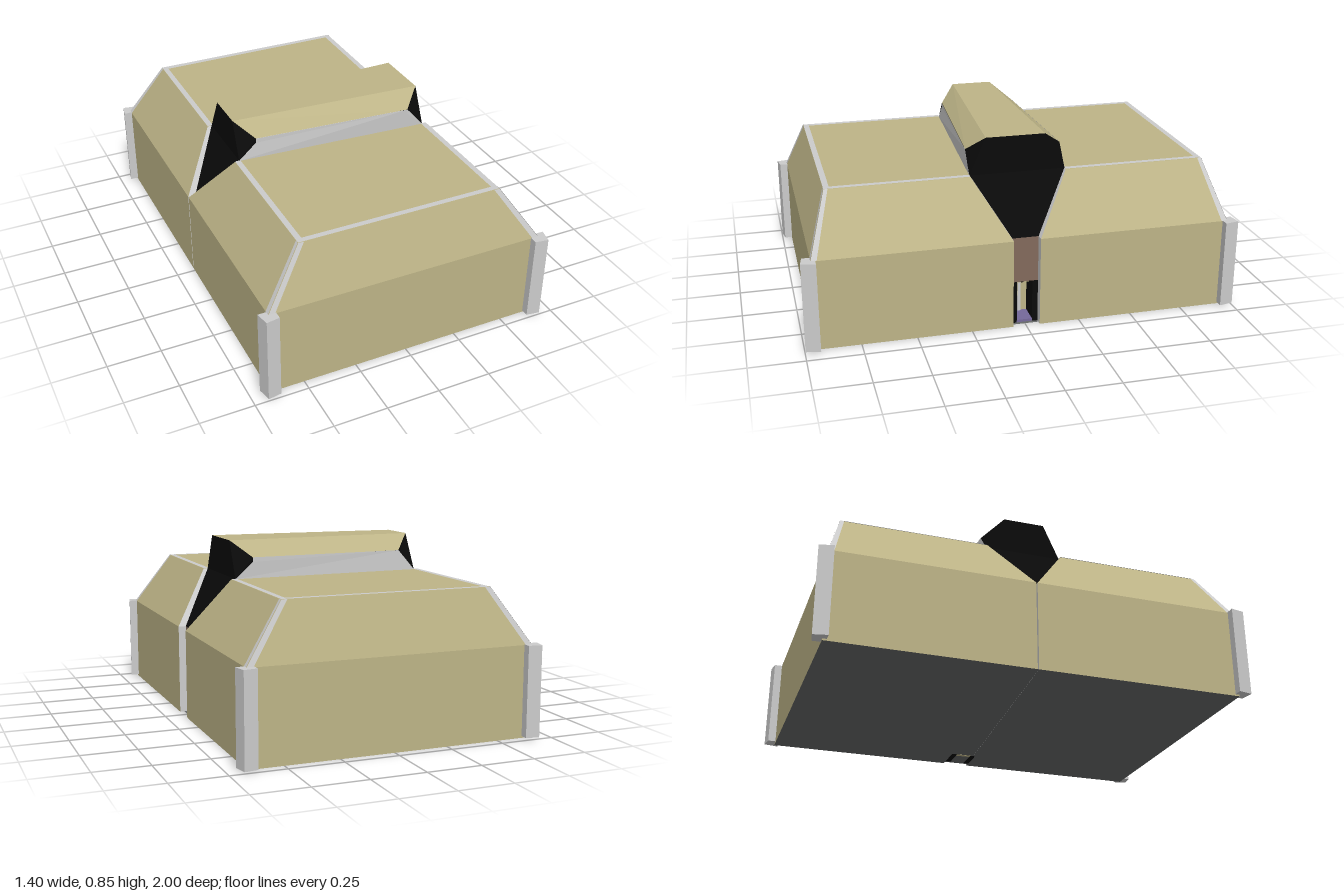
import * as THREE from 'three';

const paint = (color) => new THREE.MeshStandardMaterial({ color, flatShading: true, side: THREE.DoubleSide });
const TAN = paint(0xbdb487), GREY = paint(0xcccccc), BLACK = paint(0x0a0a0a);
const BROWN = paint(0x826a5c), DARK = paint(0x666868), PURPLE = paint(0x75699a);

// Flat polygons turned to face away from a centre, optionally lifted off the surface
function panels(name, material, polys, centre, lift = 0) {
  const pos = [];
  const c = new THREE.Vector3(...centre);
  for (const poly of polys) {
    let p = poly.map((q) => new THREE.Vector3(...q));
    const n = new THREE.Vector3().crossVectors(p[1].clone().sub(p[0]), p[2].clone().sub(p[0])).normalize();
    if (n.dot(p[0].clone().sub(c)) < 0) { p.reverse(); n.negate(); }
    p = p.map((v) => v.addScaledVector(n, lift));
    for (let i = 1; i < p.length - 1; i++) {
      for (const v of [p[0], p[i], p[i + 1]]) pos.push(v.x, v.y, v.z);
    }
  }
  const g = new THREE.BufferGeometry();
  g.setAttribute('position', new THREE.Float32BufferAttribute(pos, 3));
  g.computeVertexNormals();
  const m = new THREE.Mesh(g, material);
  m.name = name;
  return m;
}

function box(name, material, w, h, d, x, y, z) {
  const m = new THREE.Mesh(new THREE.BoxGeometry(w, h, d), material);
  m.name = name;
  m.position.set(x, y, z);
  return m;
}

const W = 0.66, T = 0.485, H = 0.42, R = 0.675;

// One half of the building: outer end at zo (wall) and zt (roof);
// the middle cut is given for the left (+x) and right (-x) sides
function half(name, zo, zt, cutL, cutR) {
  const g = new THREE.Group();
  g.name = name;
  const centre = [0, 0.3, zo * 0.55];
  const side = (s, [low, high]) => ({
    o0: [s * W, 0, zo], o1: [s * W, H, zo], o2: [s * T, R, zt],
    i0: [s * W, 0, low], i1: [s * W, H, low], i2: [s * T, R, high],
  });
  const a = side(1, cutL), b = side(-1, cutR);
  const walls = [[a.o0, a.o1, b.o1, b.o0], [a.o1, a.o2, b.o2, b.o1], [a.o2, a.i2, b.i2, b.o2]];
  for (const e of [a, b]) walls.push([e.o0, e.i0, e.i1, e.o1], [e.o1, e.i1, e.i2, e.o2]);
  g.add(panels('wallsAndRoof', TAN, walls, centre));
  g.add(panels('cutFace', GREY, [[a.i0, a.i1, b.i1, b.i0], [a.i1, a.i2, b.i2, b.i1]], centre));
  g.add(panels('floor', DARK, [[a.o0, b.o0, b.i0, a.i0]], centre));

  // Pale trim on the hips and round the flat roof
  const d = Math.sign(zo), t = 0.026;
  const hips = [], rim = [];
  for (const [s, e] of [[1, a], [-1, b]]) {
    const dx = ([x, y, z], k) => [x - s * k, y, z];
    const dz = ([x, y, z], k) => [x, y, z - d * k];
    hips.push([e.o1, e.o2, dx(e.o2, t), dx(e.o1, 0.03)]);
    hips.push([e.o1, e.o2, dz(e.o2, 0.018), dz(e.o1, 0.026)]);
    rim.push([e.o2, e.i2, dx(e.i2, t), dx(e.o2, t)]);
  }
  const inset = (p) => [p[0], p[1], p[2] - d * t];
  rim.push([a.o2, b.o2, inset(b.o2), inset(a.o2)]);
  g.add(panels('hipTrim', GREY, hips, centre, 0.002));
  g.add(panels('roofTrim', GREY, rim, centre, 0.002));

  // Angled corner posts
  for (const s of [1, -1]) {
    const outline = [[0, -0.02], [0.04, -0.02], [0.026, 0.046], [-0.036, 0.036], [-0.036, 0], [0, 0]];
    const shape = new THREE.Shape(outline.map(([x, z]) => new THREE.Vector2(s * (W + x), -(zo + d * z))));
    const geo = new THREE.ExtrudeGeometry(shape, { depth: 0.415, bevelEnabled: false });
    geo.rotateX(-Math.PI / 2);
    const post = new THREE.Mesh(geo, GREY);
    post.name = 'cornerPost';
    post.position.y = 0.008;
    g.add(post);
  }
  return g;
}

// Raised skylight filling the cut between the halves
function skylight() {
  const g = new THREE.Group();
  g.name = 'skylight';
  const centre = [0, 0.65, 0];
  // z positions at the top, shoulder and foot for one end and one face
  const pts = (s, [top, mid, foot]) => ({
    top: [s * 0.462, 0.845, top], up: [s * 0.38, 0.772, mid], low: [s * 0.38, 0.75, mid],
    sill: [s * 0.465, R, mid], foot: [s * 0.625, H, foot],
  });
  const lf = pts(1, [0.14, 0.215, 0.06]), lb = pts(1, [-0.135, -0.228, -0.064]);
  const rf = pts(-1, [0.09, 0.165, -0.018]), rb = pts(-1, [-0.105, -0.195, -0.024]);
  g.add(panels('ridgeTop', TAN, [[lf.top, rf.top, rb.top, lb.top],
    [lf.top, lf.up, rf.up, rf.top], [lb.top, lb.up, rb.up, rb.top]], centre));
  g.add(panels('windows', GREY, [[lf.up, lf.low, lf.sill, rf.sill, rf.low, rf.up],
    [lb.up, lb.low, lb.sill, rb.sill, rb.low, rb.up]], centre, 0.001));
  const ends = [];
  for (const [f, b] of [[lf, lb], [rf, rb]]) {
    ends.push([f.top, b.top, b.sill, f.sill], [f.sill, b.sill, b.foot, f.foot]);
    for (const p of [f, b]) ends.push([p.top, p.up, p.low, p.sill]);
  }
  g.add(panels('blackEnds', BLACK, ends, centre));
  return g;
}

// Recessed doorway on the left side
function doorway() {
  const g = new THREE.Group();
  g.name = 'doorway';
  g.add(box('panelAboveDoor', BROWN, 0.03, 0.215, 0.124, 0.61, 0.3125, -0.002));
  for (const z of [0.048, -0.05]) g.add(box('doorJamb', BLACK, 0.12, 0.205, 0.026, 0.565, 0.1025, z));
  g.add(box('lintel', TAN, 0.02, 0.03, 0.074, 0.56, 0.19, -0.001));
  g.add(box('lamp', BLACK, 0.012, 0.02, 0.012, 0.576, 0.19, -0.001));
  g.add(box('innerDoor', TAN, 0.02, 0.175, 0.074, 0.515, 0.0875, -0.001));
  g.add(box('doorSeam', GREY, 0.01, 0.17, 0.014, 0.528, 0.088, -0.001));
  g.add(box('doorstep', PURPLE, 0.1, 0.012, 0.074, 0.575, 0.008, -0.001));
  return g;
}

export function createModel() {
  const model = new THREE.Group();
  model.name = 'building';
  model.add(half('frontHalf', 0.952, 0.866, [0.06, 0.215], [-0.018, 0.165]));
  model.add(half('backHalf', -0.956, -0.886, [-0.064, -0.228], [-0.024, -0.195]));
  model.add(skylight(), doorway());
  // Plate closing the underside of the gap
  model.add(panels('basePlate', DARK, [[[0.64, 0.001, 0.06], [0.64, 0.001, -0.064],
    [-W, 0.001, -0.024], [-W, 0.001, -0.018]]], [0, 0.3, 0]));
  return model;
}
